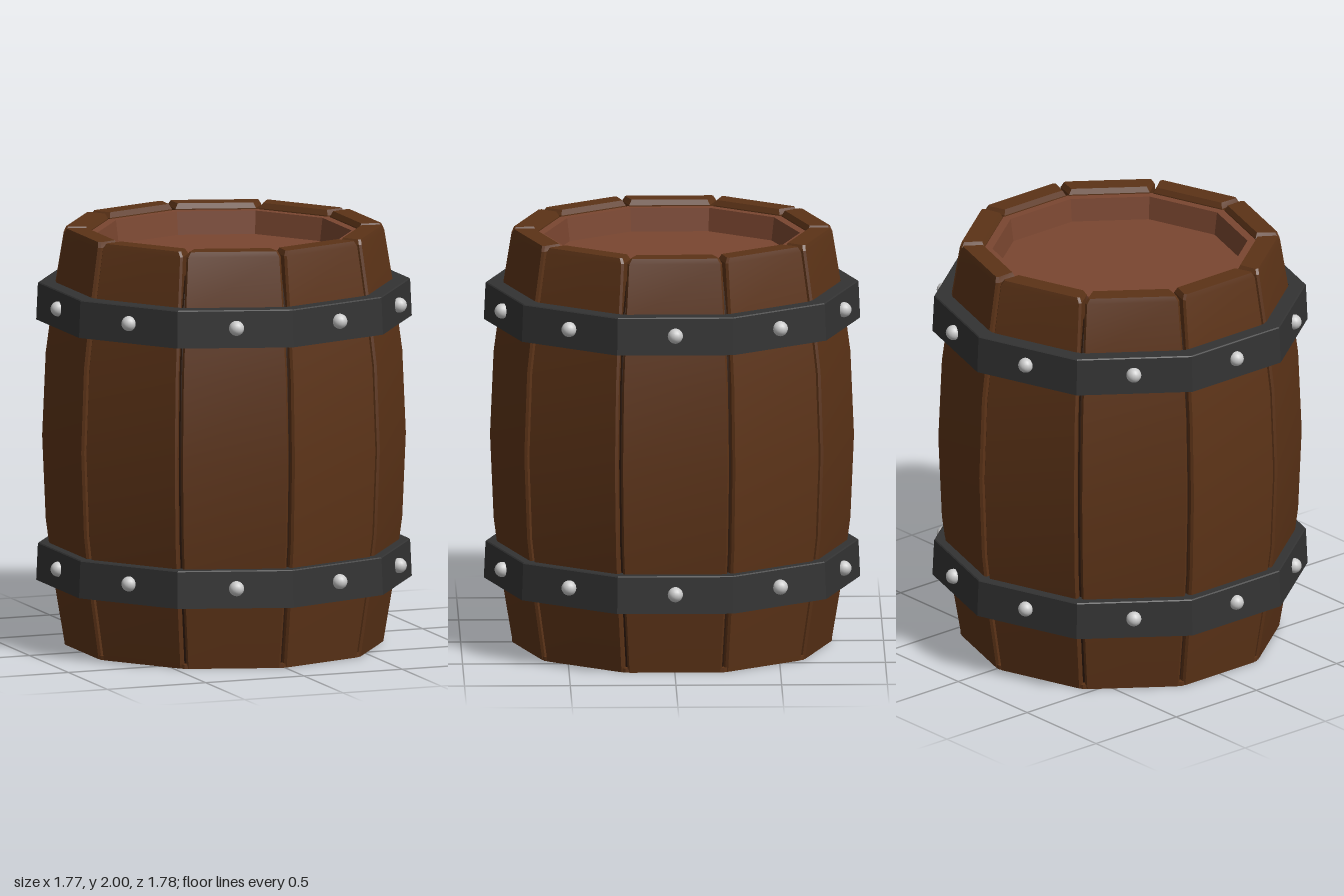
import * as THREE from 'three';
import { toCreasedNormals } from 'three/addons/utils/BufferGeometryUtils.js';

const SIDES = 10;
const STEP = (Math.PI * 2) / SIDES;
const COS = Math.cos(STEP / 2);
const TAN = Math.tan(STEP / 2);

// Corner radius of the barrel at each height: [y, radius]
const BULGE = [[0, 0.76], [0.3, 0.81], [0.6, 0.85], [1, 0.867], [1.4, 0.85], [1.7, 0.81], [1.975, 0.765], [2, 0.757]];

const material = (color) => new THREE.MeshStandardMaterial({ color });

// Ten-sided turned part from a profile of [radius, y]
function turned(profile) {
  const points = profile.map(([r, y]) => new THREE.Vector2(r, y));
  return toCreasedNormals(new THREE.LatheGeometry(points, SIDES), 0.3);
}

// One bowed plank with chamfered outer edges, facing +z
function staveGeometry() {
  const inner = 0.615, gap = 0.009, chamfer = 0.012;
  const positions = [], index = [];
  BULGE.forEach(([y, radius], i) => {
    const inset = i === BULGE.length - 1 ? 0.012 : 0;
    const outer = radius * COS;
    const half = (w) => w * TAN - gap - inset;
    const a = half(inner), b = half(outer - chamfer), c = half(outer) - chamfer;
    const section = [
      [-a, inner + inset], [-b, outer - chamfer], [-c, outer],
      [c, outer], [b, outer - chamfer], [a, inner + inset],
    ];
    section.forEach(([x, z]) => positions.push(x, y, z));
  });
  const n = 6, last = (BULGE.length - 1) * n;
  for (let i = 0; i < BULGE.length - 1; i++) {
    for (let j = 0; j < n; j++) {
      const p = i * n + j, q = i * n + ((j + 1) % n);
      index.push(p, q, q + n, p, q + n, p + n);
    }
  }
  for (let j = 1; j < n - 1; j++) {
    index.push(0, j + 1, j, last, last + j, last + j + 1);
  }
  const geometry = new THREE.BufferGeometry();
  geometry.setAttribute('position', new THREE.Float32BufferAttribute(positions, 3));
  geometry.setIndex(index);
  return toCreasedNormals(geometry, 0.4);
}

export function createModel() {
  const model = new THREE.Group();
  model.name = 'barrel';
  const wood = material(0x5c3317);
  const seamWood = material(0x2e190c);
  const lidWood = material(0x7a4630);
  const iron = material(0x333333);
  const steel = material(0xcccccc);

  const add = (parent, name, geometry, mat) => {
    const mesh = new THREE.Mesh(geometry, mat);
    mesh.name = name;
    parent.add(mesh);
    return mesh;
  };

  const body = new THREE.Group();
  body.name = 'body';
  body.position.x = -0.01;
  model.add(body);

  // Staves
  const stave = staveGeometry();
  for (let i = 0; i < SIDES; i++) {
    add(body, `stave${i + 1}`, stave, wood).rotation.y = (i + 0.5) * STEP;
  }

  // Dark backing behind the seams
  const backing = BULGE.slice(0, 6).map(([y, r]) => [r - 0.035, y + 0.02]);
  add(body, 'seamBacking', turned([...backing, [0.72, 1.88], [0.6, 1.88]]), seamWood);

  // Flat bottom closing the staves
  add(body, 'bottom', turned([[0, 0], [0.757, 0], [0.757, 0.02], [0, 0.02]]), wood);

  // Recessed lid with a raised lip
  add(body, 'lid', turned([[0.65, 1.8], [0.65, 1.97], [0.605, 1.97], [0.59, 1.86], [0, 1.86]]), lidWood);

  // Iron hoops, each with one rivet per side
  const hoop = turned([
    [0.8, -0.09], [0.89, -0.09], [0.882, 0.085], [0.877, 0.09], [0.8, 0.09], [0.8, -0.09],
  ]);
  const rivet = new THREE.SphereGeometry(0.036, 16, 12);
  for (const [name, y] of [['lowerHoop', 0.4], ['upperHoop', 1.65]]) {
    add(body, name, hoop, iron).position.y = y;
    for (let i = 0; i < SIDES; i++) {
      const angle = (i + 0.5) * STEP;
      add(model, `${name}Rivet${i + 1}`, rivet, steel)
        .position.set(Math.sin(angle) * 0.85 - 0.004, y + 0.005, Math.cos(angle) * 0.85);
    }
  }
  return model;
}
